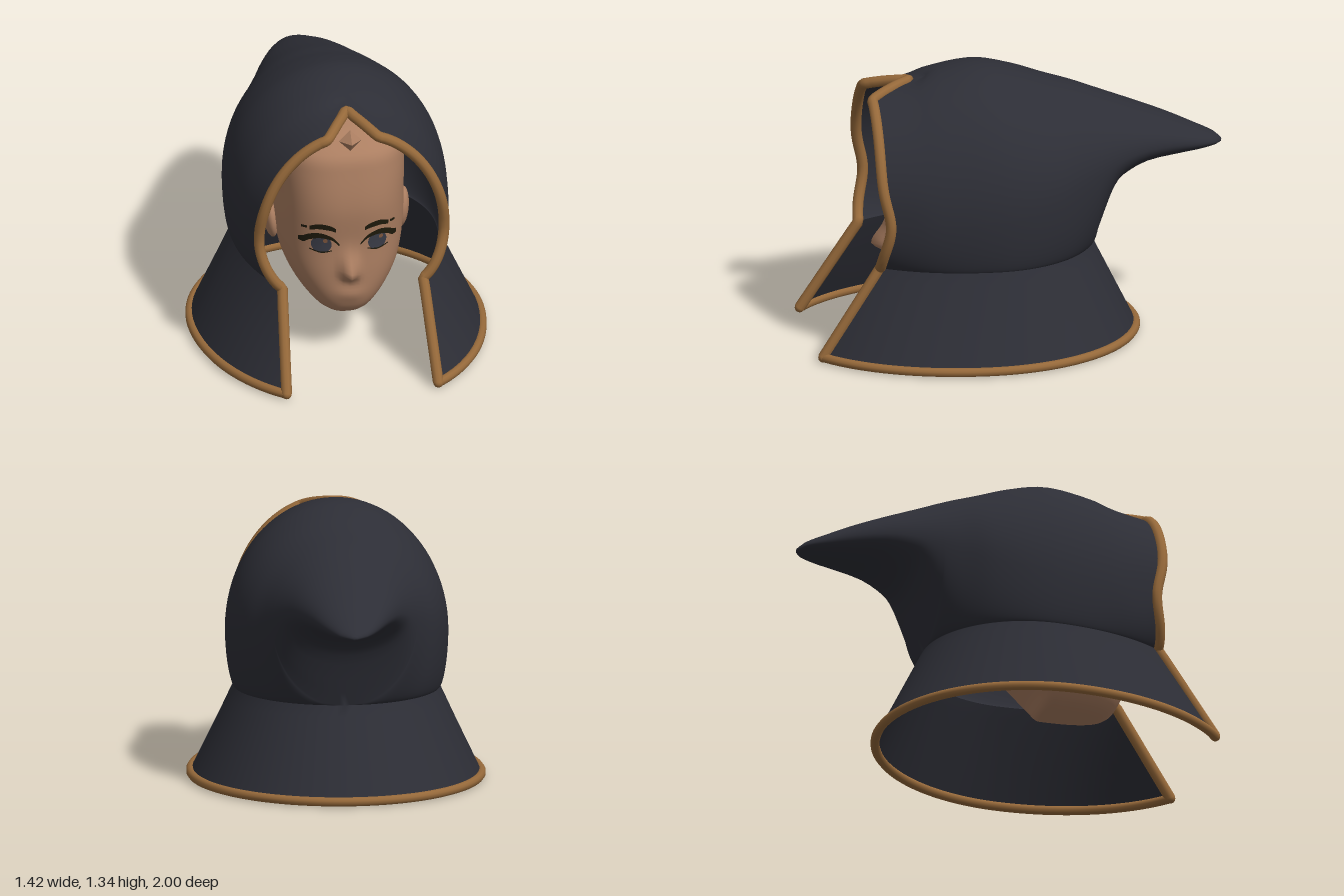
import * as THREE from 'three';
import { mergeGeometries, mergeVertices } from 'three/addons/utils/BufferGeometryUtils.js';

const mat = (name, color, side = THREE.FrontSide) => {
  const m = new THREE.MeshStandardMaterial({ color, side });
  m.name = name;
  return m;
};
const V = (x, y, z) => new THREE.Vector3(x, y, z);
const rad = THREE.MathUtils.degToRad;

// Smooth lookup: key column t rising, returns the interpolated remaining columns
function lookup(table, t) {
  let i = 0;
  while (i < table.length - 2 && t > table[i + 1][0]) i++;
  const a = table[i], b = table[i + 1];
  const p = table[Math.max(i - 1, 0)], n = table[Math.min(i + 2, table.length - 1)];
  const h = b[0] - a[0], u = THREE.MathUtils.clamp((t - a[0]) / h, 0, 1);
  return a.slice(1).map((_, k) => {
    const c = k + 1;
    const m0 = (b[c] - p[c]) / (b[0] - p[0]) * h, m1 = (n[c] - a[c]) / (n[0] - a[0]) * h;
    const u2 = u * u, u3 = u2 * u;
    return (2 * u3 - 3 * u2 + 1) * a[c] + (u3 - 2 * u2 + u) * m0 + (3 * u2 - 2 * u3) * b[c] + (u3 - u2) * m1;
  });
}

// Surface through rows of points
function grid(rows) {
  const w = rows[0].length, idx = [];
  for (let i = 0; i < rows.length - 1; i++)
    for (let j = 0; j < w - 1; j++) {
      const a = i * w + j, c = a + w;
      idx.push(a, a + 1, c, a + 1, c + 1, c);
    }
  const g = new THREE.BufferGeometry().setFromPoints(rows.flat());
  g.setIndex(idx);
  return g;
}
function smooth(...parts) {
  const g = mergeVertices(mergeGeometries(parts), 1e-4);
  g.computeVertexNormals();
  return g;
}

// Hood profile along z: top height, half width, height of the widest point
const HOOD = [
  [-1.0, 0.9, 0.01, 0.893], [-0.965, 0.93, 0.065, 0.9], [-0.86, 0.98, 0.127, 0.915], [-0.74, 1.035, 0.18, 0.93],
  [-0.59, 1.095, 0.243, 0.93], [-0.46, 1.145, 0.3, 0.9], [-0.29, 1.21, 0.39, 0.83], [-0.16, 1.25, 0.465, 0.78],
  [0, 1.305, 0.515, 0.74], [0.18, 1.342, 0.53, 0.72], [0.4, 1.31, 0.51, 0.71], [0.5, 1.275, 0.495, 0.7], [0.7, 1.24, 0.445, 0.7],
];
// Underside of the trailing point
const UNDER = [
  [-1.0, 0.885], [-0.9, 0.865], [-0.765, 0.85], [-0.62, 0.83], [-0.525, 0.785],
  [-0.47, 0.735], [-0.433, 0.65], [-0.405, 0.56], [-0.37, 0.45],
];
const NECK_Y = 0.45, HEM_Y = 0.023, HALF = 22;

// One arch of the hood, from its right lower end over the top to its left lower end
function arch(z, xb, yb, f) {
  const [yt, w, ym] = lookup(HOOD, z);
  const s = THREE.MathUtils.smoothstep(z, 0.35, 0.7);
  const half = [];
  for (let i = 0; i <= HALF; i++) {
    const a = i / HALF * Math.PI / 2;
    half.push([xb + (w - xb) * Math.pow(Math.max(Math.sin(a), 0), 1 + 0.6 * f), yb + (ym - yb) * (1 - Math.cos(a))]);
  }
  for (let i = 1; i <= HALF; i++) {
    const a = i / HALF * Math.PI / 2;
    half.push([i === HALF ? 0 : w * Math.cos(a), ym + (yt - ym) * Math.sin(a)]);
  }
  const place = (sgn) => ([x, y]) => {
    const peak = y > 1 ? s : 0;
    const dip = s * 0.04 * Math.exp(-(((y - 0.68) / 0.14) ** 2));
    return V(sgn * x, y + peak * 0.03 * Math.max(0, 1 - x / 0.12), z - dip - peak * Math.max(0, 0.19 - 1.6 * x));
  };
  return [...half.map(place(-1)), ...half.slice(0, -1).reverse().map(place(1))];
}

function buildHood(g, cloth, trim) {
  const open = [], closed = [];
  const N = 32, SK = 8;
  // Open arches with the flared skirt hanging from their ends
  for (let i = 0; i <= N; i++) {
    const f = 1 - i / N, a = rad(136 * f), b = rad(148 * f);
    const z = 0.15 - (Math.cos(a) > 0 ? 0.52 : 0.76) * Math.cos(a), x = 0.49 * Math.sin(a);
    const row = arch(z, x, NECK_Y, f);
    const hem = V(0.69 * Math.sin(b), HEM_Y, 0.2 - (Math.cos(b) > 0 ? 0.78 : 0.91) * Math.cos(b));
    const flip = V(-1, 1, 1), left = [], right = [];
    for (let k = 0; k < SK; k++) {
      left.push(hem.clone().multiply(flip).lerp(row[0], k / SK));
      right.unshift(hem.clone().lerp(row[row.length - 1], k / SK));
    }
    open.push([...left, ...row, ...right]);
  }
  // Closed rings towards the trailing point
  const zs = [-0.37, -0.39, -0.41, -0.435, -0.455, -0.475, -0.5, -0.53, -0.57, -0.62, -0.68, -0.74, -0.8, -0.86, -0.91, -0.94, -0.965, -0.985, -0.997];
  for (const z of zs) closed.push(arch(z, 0, lookup(UNDER, z)[0], 0));
  closed.push(closed[0].map(() => V(0, 0.893, -1)));
  add(g, 'hood', smooth(grid(open), grid(closed)), cloth);

  // Rolled trim round the face opening and the hem
  const last = open[0].length - 1;
  const hemLine = [...open.map((r) => r[0]), ...open.slice(0, -1).reverse().map((r) => r[last])];
  const tube = (name, pts, r) =>
    add(g, name, new THREE.TubeGeometry(new THREE.CatmullRomCurve3(pts), 220, r, 10), trim);
  tube('openingTrim', open[0], 0.026);
  tube('hemTrim', hemLine, 0.022);
  for (const p of [open[0][0], open[0][last]])
    add(g, 'trimEnd', new THREE.SphereGeometry(0.024, 12, 8), trim).position.copy(p);
}

function add(g, name, geo, m) {
  const mesh = new THREE.Mesh(geo, m);
  mesh.name = name;
  g.add(mesh);
  return mesh;
}

// Head sections by height: half width, front z, back z
const HEAD = [
  [0.2, 0.07, 0.48, 0.22], [0.22, 0.125, 0.54, 0.2], [0.27, 0.175, 0.585, 0.17], [0.35, 0.23, 0.605, 0.1], [0.45, 0.275, 0.61, 0],
  [0.6, 0.3, 0.61, -0.12], [0.8, 0.305, 0.63, -0.18], [0.98, 0.308, 0.61, -0.16], [1.06, 0.295, 0.585, -0.1],
  [1.11, 0.25, 0.52, -0.04], [1.17, 0.18, 0.42, 0.04], [1.2, 0.02, 0.28, 0.22],
];
const ZC = 0.25, POW = 2.6;
const nose = (x, y) => {
  const tip = 0.075 * Math.exp(-((x / 0.035) ** 2) - ((y - 0.46) / (y > 0.46 ? 0.085 : 0.035)) ** 2);
  const lips = 0.012 * Math.exp(-((x / 0.07) ** 2) - ((y - 0.34) / 0.035) ** 2);
  return tip + lips;
};
function faceZ(x, y) {
  const [w, zf] = lookup(HEAD, y);
  return ZC + (zf - ZC) * Math.pow(Math.max(0, 1 - Math.pow(Math.abs(x) / w, POW)), 1 / POW) + nose(x, y);
}

function buildHead(g, skin, dark, iris, glint) {
  const rows = [], R = 54, C = 96;
  const pow = (v) => Math.sign(v) * Math.pow(Math.abs(v), 2 / POW);
  for (let i = 0; i <= R; i++) {
    const y = 0.2 + i / R, row = [];
    const [w, zf, zb] = lookup(HEAD, y);
    for (let j = 0; j <= C; j++) {
      const a = j / C * Math.PI * 2, c = pow(Math.cos(a)), x = w * pow(Math.sin(a));
      row.push(V(x, y, ZC + c * (c > 0 ? zf - ZC : ZC - zb) + (c > 0 ? nose(x, y) : 0)));
    }
    rows.push(row);
  }
  rows.unshift(rows[0].map(() => V(0, 0.198, 0.35)));
  rows.push(rows[0].map(() => V(0, 1.202, 0.25)));
  add(g, 'head', smooth(grid(rows)), skin);
  add(g, 'foreheadPeak', new THREE.OctahedronGeometry(0.055), skin).position.set(0, 1.17, 0.62);

  // Thin strips draped over the face: [x, lower y, upper y]
  const ribbon = (name, pts, s) => {
    const low = [], high = [];
    for (let i = 0; i <= 20; i++) {
      const x = pts[0][0] + (pts[pts.length - 1][0] - pts[0][0]) * i / 20;
      const [a, b] = lookup(pts, x);
      low.push(V(s * x, a, faceZ(x, a) + 0.006));
      high.push(V(s * x, b, faceZ(x, b) + 0.006));
    }
    add(g, name, smooth(grid(s > 0 ? [low, high] : [high, low])), dark);
  };
  const disc = (name, r, x, y, lift, m, sy = 1) => {
    const geo = new THREE.RingGeometry(0.0005, r, 28, 3).scale(1, sy, 1).translate(x, y, 0);
    const p = geo.attributes.position;
    for (let i = 0; i < p.count; i++) p.setZ(i, faceZ(p.getX(i), p.getY(i)) + lift);
    geo.computeVertexNormals();
    add(g, name, geo, m);
  };
  for (const s of [1, -1]) {
    ribbon('brow', [[0.07, 0.685, 0.705], [0.1, 0.695, 0.722], [0.15, 0.7, 0.728], [0.19, 0.69, 0.713]], s);
    ribbon('browEnd', [[0.2, 0.697, 0.71], [0.225, 0.695, 0.708]], s);
    ribbon('upperLash', [[0.05, 0.605, 0.615], [0.085, 0.637, 0.655], [0.14, 0.65, 0.677], [0.19, 0.635, 0.668], [0.215, 0.615, 0.65], [0.237, 0.618, 0.637]], s);
    ribbon('lowerLash', [[0.085, 0.58, 0.585], [0.135, 0.569, 0.576], [0.19, 0.582, 0.588]], s);
    disc('iris', 0.047, s * 0.135, 0.614, 0.004, iris);
    disc('eyeGlint', 0.011, s * 0.135 + 0.017, 0.636, 0.007, glint);
    const ear = add(g, 'ear', new THREE.SphereGeometry(1, 20, 14), skin);
    ear.scale.set(0.035, 0.105, 0.075);
    ear.position.set(s * 0.315, 0.58, 0.2);
    ear.rotation.z = -s * 0.12;
  }
}

export function createModel() {
  const model = new THREE.Group();
  model.name = 'hoodedHead';
  const hood = new THREE.Group(), head = new THREE.Group();
  hood.name = 'hoodGroup';
  head.name = 'headGroup';
  buildHood(hood, mat('charcoalCloth', 0x2d2e36, THREE.DoubleSide), mat('bronzeTrim', 0x96693a));
  buildHead(head, mat('skin', 0xab7e61), mat('darkHair', 0x1e1a0c), mat('slateIris', 0x3b3d48), mat('eyeGlint', 0x80583f));
  model.add(hood, head);
  return model;
}
